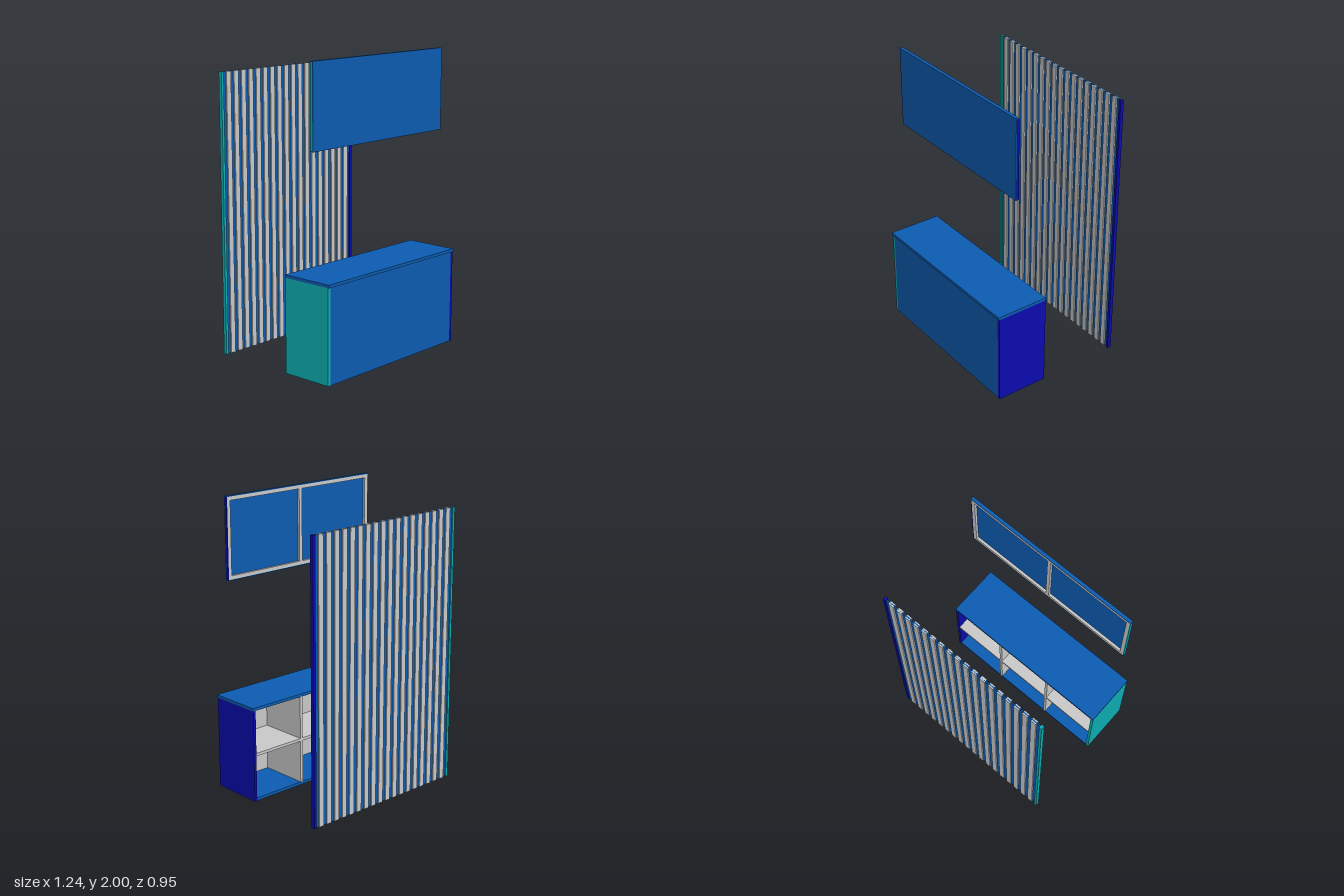
import * as THREE from 'three';

const grey = new THREE.MeshStandardMaterial({ color: 0xcccccc });
const teal = new THREE.MeshStandardMaterial({ color: 0x0eb0b4 });
const blue = new THREE.MeshStandardMaterial({ color: 0x0d5db4 });
const navy = new THREE.MeshStandardMaterial({ color: 0x0a0ab0 });
const HALF = 0.622; // half width shared by all three pieces

// Box given by its extents on each axis
function slab(parent, name, material, [x0, x1], [y0, y1], [z0, z1]) {
  const mesh = new THREE.Mesh(new THREE.BoxGeometry(x1 - x0, y1 - y0, z1 - z0), material);
  mesh.position.set((x0 + x1) / 2, (y0 + y1) / 2, (z0 + z1) / 2);
  mesh.name = name;
  parent.add(mesh);
}

function group(parent, name) {
  const g = new THREE.Group();
  g.name = name;
  parent.add(g);
  return g;
}

// Closed front, open back, three bays with a middle shelf
function buildCounter(parent) {
  const g = group(parent, 'counter');
  const t = 0.02, inner = HALF - t, back = 0.103, front = 0.468;
  slab(g, 'counterTop', blue, [-HALF, HALF], [0.63, 0.65], [back, 0.475]);
  slab(g, 'counterFloor', blue, [-inner, inner], [0, t], [back, front]);
  slab(g, 'counterFront', blue, [-inner, inner], [t, 0.63], [front - 0.012, front]);
  slab(g, 'rightSide', teal, [-HALF, -inner], [0, 0.63], [back, front]);
  slab(g, 'leftSide', navy, [inner, HALF], [0, 0.63], [back, front]);
  slab(g, 'frontLining', grey, [-inner, inner], [t, 0.63], [front - 0.02, front - 0.012]);
  slab(g, 'shelf', grey, [-inner, inner], [0.315, 0.335], [back, front - 0.02]);
  for (const x of [-HALF / 3, HALF / 3])
    for (const y of [[t, 0.315], [0.335, 0.63]])
      slab(g, 'divider', grey, [x - t / 2, x + t / 2], y, [back, front - 0.02]);
}

// Hanging sign: thin skin with a rim, stiffened by a frame behind
function buildSign(parent) {
  const g = group(parent, 'headerSign');
  const y0 = 1.453, y1 = 2, rim = 0.006, bar = 0.024;
  const z = [0.325, 0.342], xi = HALF - rim, yi0 = y0 + rim, yi1 = y1 - rim;
  slab(g, 'signFace', blue, [-HALF, HALF], [y0, y1], [z[1], 0.348]);
  slab(g, 'bottomRim', blue, [-HALF, HALF], [y0, yi0], z);
  slab(g, 'topRim', blue, [-HALF, HALF], [yi1, y1], z);
  slab(g, 'rightRim', teal, [-HALF, -xi], [yi0, yi1], z);
  slab(g, 'leftRim', navy, [xi, HALF], [yi0, yi1], z);
  slab(g, 'bottomRail', grey, [-xi, xi], [yi0, yi0 + bar], z);
  slab(g, 'topRail', grey, [-xi, xi], [yi1 - bar, yi1], z);
  for (const x of [-xi, -bar / 2, xi - bar])
    slab(g, 'signStile', grey, [x, x + bar], [yi0 + bar, yi1 - bar], z);
}

// Thin panel with evenly spaced battens standing out on both faces
function buildWall(parent) {
  const g = group(parent, 'slatWall');
  const y = [0, 1.88], z = [-0.475, -0.45], count = 18, pitch = 0.0657;
  slab(g, 'wallPanel', blue, [-0.603, 0.603], y, [-0.467, -0.459]);
  slab(g, 'rightPost', teal, [-HALF, -0.603], y, z);
  slab(g, 'leftPost', navy, [0.603, HALF], y, z);
  for (let i = 0; i < count; i++) {
    const x = (i - (count - 1) / 2) * pitch;
    slab(g, 'slat', grey, [x - 0.019, x + 0.019], y, z);
  }
}

export function createModel() {
  const model = new THREE.Group();
  model.name = 'displayStand';
  buildCounter(model);
  buildSign(model);
  buildWall(model);
  return model;
}
